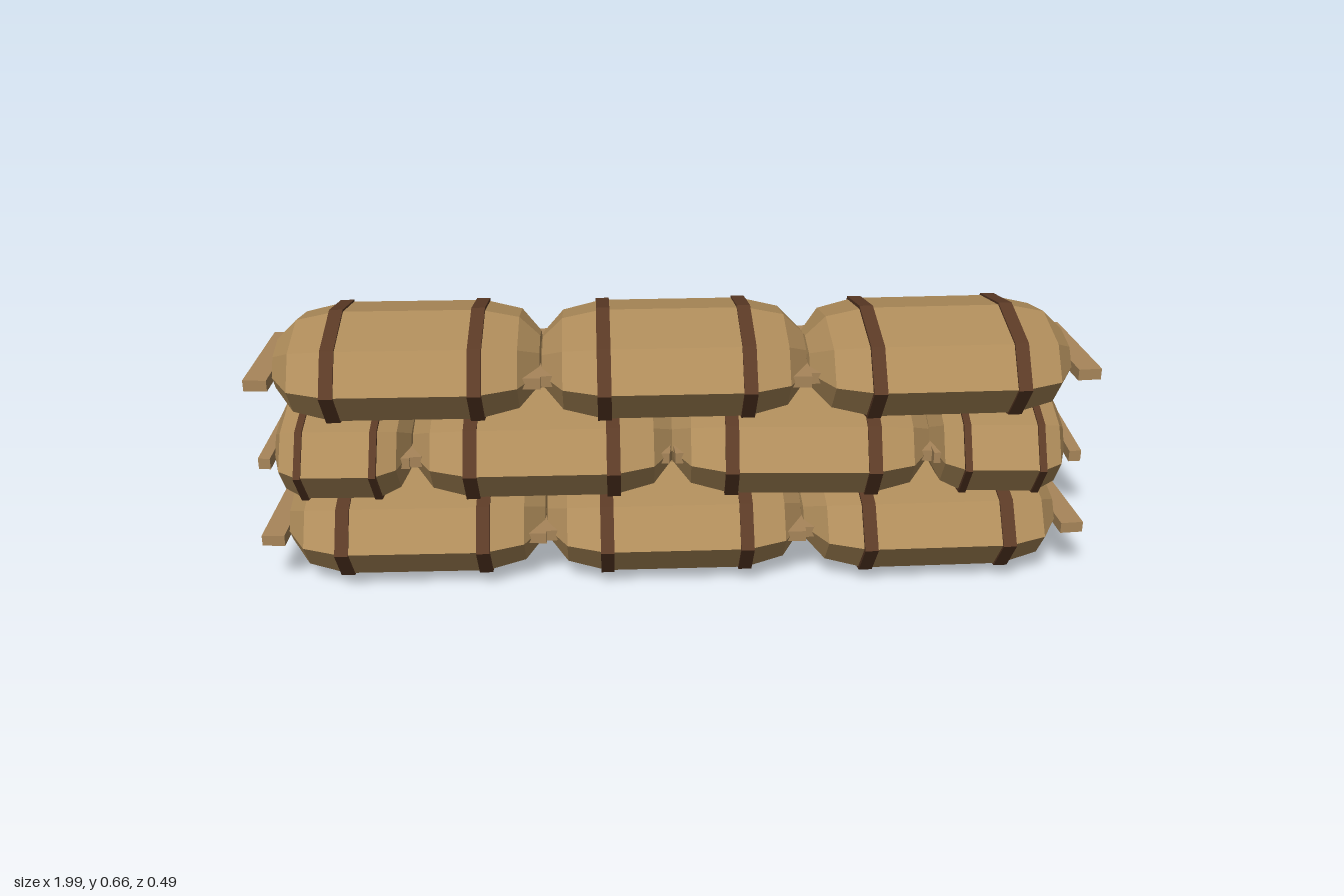
import * as THREE from 'three';

const RY = 0.122, RZ = 0.232; // half height and half depth of a bag

export function createModel() {
  const cloth = new THREE.MeshStandardMaterial({ color: 0xb08d5b, flatShading: true });
  cloth.name = 'tan cloth';
  const flap = new THREE.MeshStandardMaterial({ color: 0xa8865a, flatShading: true });
  flap.name = 'seam cloth';
  const strap = new THREE.MeshStandardMaterial({ color: 0x5c3b26, flatShading: true });
  strap.name = 'brown strap';

  // Eight-sided bag with faceted ends, turned to lie along x
  const half = [[0, 0.323], [0.45, 0.311], [0.84, 0.263], [1, 0.17]];
  const profile = [
    ...half.map(([r, x]) => new THREE.Vector2(r, -x)),
    ...half.slice().reverse().map(([r, x]) => new THREE.Vector2(r, x)),
  ];
  const bagGeo = new THREE.LatheGeometry(profile, 8).rotateZ(-Math.PI / 2).scale(1, RY, RZ);
  const strapGeo = new THREE.CylinderGeometry(1, 1, 0.032, 8)
    .rotateZ(-Math.PI / 2).scale(1, RY + 0.005, RZ + 0.006);
  const flapGeo = new THREE.BoxGeometry(0.055, 0.027, 0.305);

  const root = new THREE.Group();
  root.name = 'sandbagWall';

  function add(parent, name, geo, mat, x) {
    const mesh = new THREE.Mesh(geo, mat);
    mesh.name = name;
    mesh.position.x = x;
    parent.add(mesh);
    return mesh;
  }

  function addBag(x, y, length, yaw) {
    const bag = new THREE.Group();
    bag.name = 'sandbag';
    add(bag, 'bagBody', bagGeo, cloth, 0);
    for (const s of [-1, 1]) {
      add(bag, 'strap', strapGeo, strap, s * 0.167);
      // Flat sewn flap at each end
      add(bag, 'endFlap', flapGeo, flap, s * 0.332).rotation.y = s * 0.06;
    }
    bag.scale.x = length;
    bag.rotation.y = yaw;
    bag.position.set(x, y, 0);
    root.add(bag);
  }

  // Bottom and top courses: three whole bags each
  for (const y of [0.127, 0.533]) {
    addBag(-0.628, y, 1, 0.015);
    addBag(0, y, 1, 0.025);
    addBag(0.625, y, 1, 0.04);
  }
  // Middle course: staggered, with a half bag at each end
  addBag(-0.79, 0.331, 0.52, 0.0);
  addBag(-0.315, 0.331, 1, 0.02);
  addBag(0.305, 0.331, 1, -0.02);
  addBag(0.78, 0.331, 0.52, -0.03);

  return root;
}
